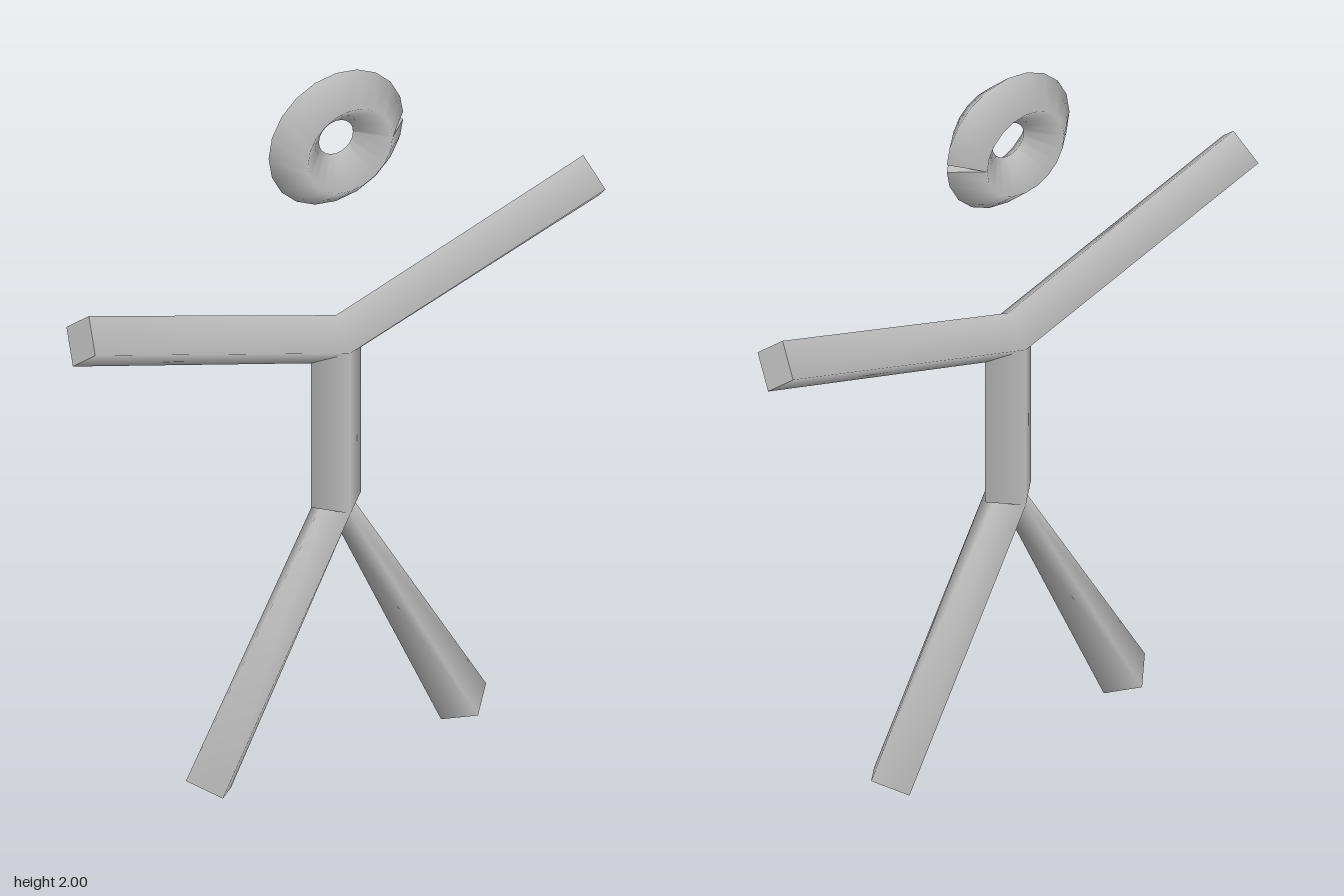
import * as THREE from 'three';

const RADIUS = 0.07;
const SIDES = 4;

// Sweeps a four-sided, smoothly shaded bar along points [x, y], with flat end caps.
// Each section is square to the averaged direction of its neighbouring segments.
function sweepBar(points) {
  const path = points.map(([x, y]) => new THREE.Vector3(x, y, 0));
  const dirs = path.slice(1).map((p, i) => p.clone().sub(path[i]).normalize());
  const last = path.length - 1;
  const pos = [], nor = [], index = [];

  const tangentAt = (i) => new THREE.Vector3()
    .add(dirs[Math.max(i - 1, 0)]).add(dirs[Math.min(i, last - 1)]).normalize();
  const radial = (t, k) => {
    const a = (k / SIDES) * Math.PI * 2;
    return new THREE.Vector3(-t.y * Math.cos(a), t.x * Math.cos(a), Math.sin(a));
  };
  const addRing = (i, capNormal) => {
    const t = tangentAt(i);
    for (let k = 0; k < SIDES; k++) {
      const r = radial(t, k);
      pos.push(...path[i].clone().addScaledVector(r, RADIUS).toArray());
      nor.push(...(capNormal || r).toArray());
    }
  };

  // Side walls
  for (let i = 0; i <= last; i++) addRing(i);
  for (let i = 0; i < last; i++) {
    for (let k = 0; k < SIDES; k++) {
      const k2 = (k + 1) % SIDES;
      const a = i * SIDES + k, d = i * SIDES + k2;
      const b = a + SIDES, c = d + SIDES;
      index.push(a, d, b, b, d, c);
    }
  }

  // End caps
  const s = pos.length / 3, e = s + SIDES;
  addRing(0, tangentAt(0).negate());
  addRing(last, tangentAt(last));
  index.push(s, s + 2, s + 1, s, s + 3, s + 2);
  index.push(e, e + 1, e + 2, e, e + 2, e + 3);

  const geo = new THREE.BufferGeometry();
  geo.setAttribute('position', new THREE.Float32BufferAttribute(pos, 3));
  geo.setAttribute('normal', new THREE.Float32BufferAttribute(nor, 3));
  geo.setIndex(index);
  return geo;
}

export function createModel() {
  const group = new THREE.Group();
  const grey = new THREE.MeshStandardMaterial({ color: 0xc0c0c0 });
  grey.name = 'light grey';

  const add = (name, points) => {
    const mesh = new THREE.Mesh(sweepBar(points), grey);
    mesh.name = name;
    group.add(mesh);
  };

  // Head: a ring whose two ends meet in a small notch on the left side
  const headSegments = 20, headRadius = 0.1175;
  const ring = [];
  for (let i = 0; i <= headSegments; i++) {
    const a = (i / headSegments) * Math.PI * 2;
    ring.push([headRadius * Math.cos(a), 1.8125 + headRadius * Math.sin(a)]);
  }
  add('head', ring);

  // Limbs: each pair is one bent bar, pinched at the joint
  add('arms', [[-0.71, 1.457], [0, 1.22], [0.71, 1.457]]);
  add('torso', [[0, 0.75], [0, 1.22]]);
  add('legs', [[-0.355, 0.036], [0, 0.75], [0.355, 0.036]]);

  return group;
}
